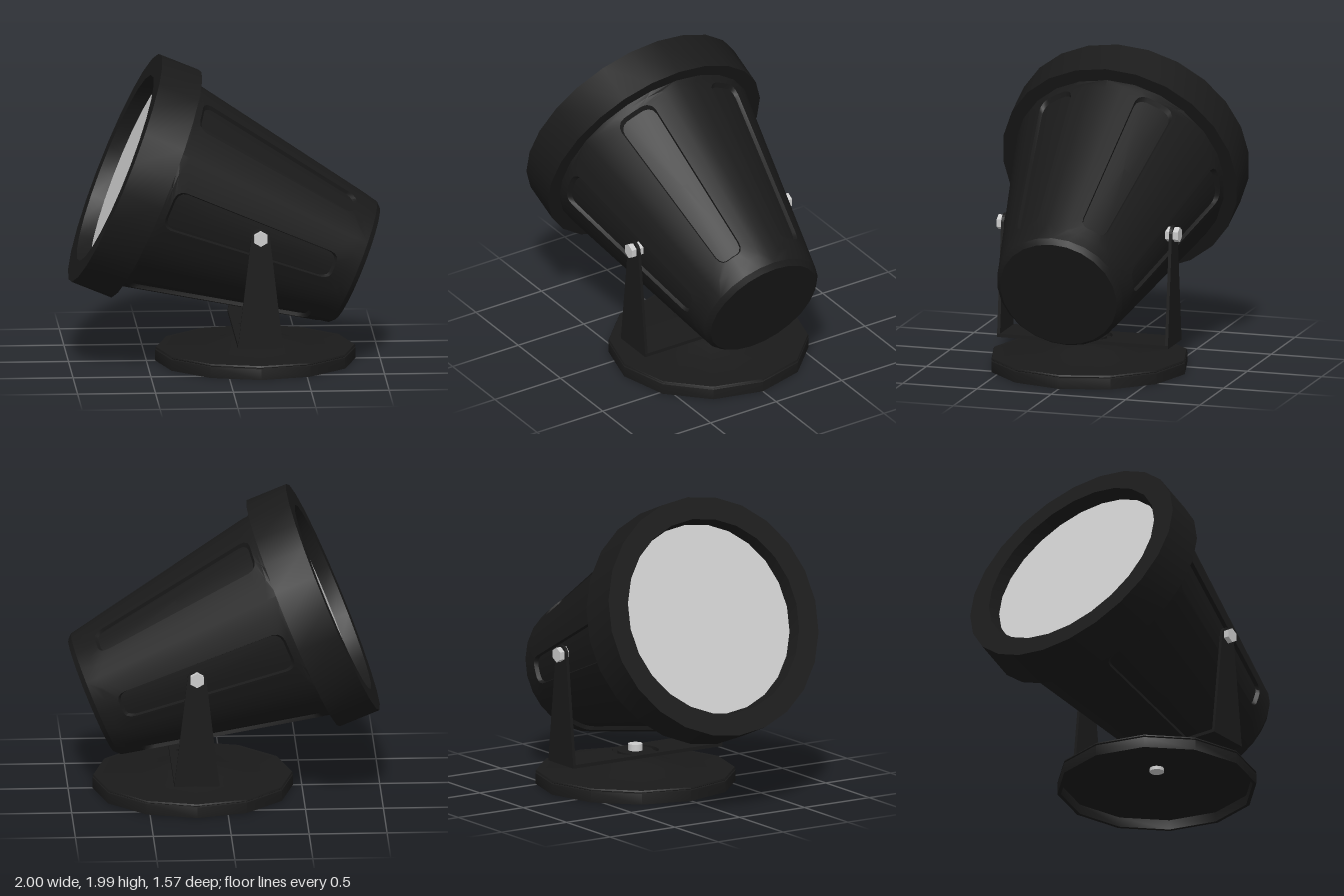
import * as THREE from 'three';
import { toCreasedNormals, mergeGeometries } from 'three/addons/utils/BufferGeometryUtils.js';

const black = new THREE.MeshStandardMaterial({ color: 0x1a1a1a, side: THREE.DoubleSide });
const grey = new THREE.MeshStandardMaterial({ color: 0xcccccc });

const CREASE = 0.55;
const PIVOT_X = 0.2, PIVOT_Y = 0.915;

function add(parent, name, geometry, material = black) {
  const mesh = new THREE.Mesh(geometry, material);
  mesh.name = name;
  parent.add(mesh);
  return mesh;
}

function lathe(points, sides, crease = CREASE) {
  const profile = points.map(([r, y]) => new THREE.Vector2(r, y));
  return toCreasedNormals(new THREE.LatheGeometry(profile, sides), crease);
}

// Tapered housing wall: six sectors, each with a sunken rounded panel
function housingGeometry() {
  const D0 = 0.27, D1 = 1.645, R0 = 0.70, R1 = 0.42;
  const panel = { mid: 0.915, half: 0.58, angle: 11.3 };
  const sector = { mid: (D0 + D1) / 2, half: (D1 - D0) / 2, angle: 30 };
  const depth = 0.025, ru = 0.5, rd = 0.11;

  // Matching unit outlines: rounded (panel) and square (sector), counter-clockwise
  const round = [], square = [];
  [[1, 1], [-1, 1], [-1, -1], [1, -1]].forEach(([sx, sy], k) => {
    let corner = [0, 30, 60, 90].map((deg) => {
      const t = THREE.MathUtils.degToRad(deg);
      return [sx * (1 - ru + ru * Math.cos(t)), sy * (1 - rd + rd * Math.sin(t))];
    });
    let outer = [[sx, sy * (1 - rd)], [sx, sy], [sx, sy], [sx * (1 - ru), sy]];
    if (k % 2) { corner.reverse(); outer.reverse(); }
    round.push(...corner);
    square.push(...outer);
    // Midpoint of the following edge
    const middle = [[0, 1], [-1, 0], [0, -1], [1, 0]][k];
    round.push(middle);
    square.push(middle);
  });

  const place = (outline, box, scale = 1) => outline.map(([u, v]) =>
    [u * box.angle * scale, box.mid + v * box.half * scale]);
  const edge = place(round, panel), border = place(square, sector);
  const between = edge.map((p, i) => [(p[0] + border[i][0]) / 2, (p[1] + border[i][1]) / 2]);
  const rings = [
    { pts: place(round, panel, 0.02), sink: depth },
    { pts: place(round, panel, 0.5), sink: depth },
    { pts: place(round, panel, 0.97), sink: depth },
    { pts: edge, sink: 0 },
    { pts: between, sink: 0 },
    { pts: border, sink: 0 },
  ];

  const pos = [];
  for (let s = 0; s < 6; s++) {
    const put = (ring, i) => {
      const [u, d] = ring.pts[i % ring.pts.length];
      const a = THREE.MathUtils.degToRad(90 + 60 * s + u);
      const r = R0 + (R1 - R0) * (d - D0) / (D1 - D0) - ring.sink;
      pos.push(r * Math.cos(a), d, r * Math.sin(a));
    };
    for (let k = 0; k < rings.length - 1; k++) {
      const a = rings[k], b = rings[k + 1];
      for (let i = 0; i < edge.length; i++) {
        put(a, i); put(b, i + 1); put(b, i);
        put(a, i); put(a, i + 1); put(b, i + 1);
      }
    }
    // Small patch closing the panel centre
    for (let i = 1; i < edge.length - 1; i++) {
      put(rings[0], 0); put(rings[0], i + 1); put(rings[0], i);
    }
  }
  const g = new THREE.BufferGeometry();
  g.setAttribute('position', new THREE.Float32BufferAttribute(pos, 3));
  return toCreasedNormals(g, CREASE);
}

// Lamp, built along +y from the front of the rim, then tilted
function createLamp() {
  const lamp = new THREE.Group();
  lamp.name = 'lamp';
  add(lamp, 'housing', housingGeometry());
  add(lamp, 'rim', lathe([[0.62, 0.1], [0.64, 0], [0.785, 0], [0.785, 0.276], [0.68, 0.276]], 24));
  add(lamp, 'rearCap', lathe([[0.42, 1.645], [0.39, 1.677], [0, 1.677]], 24));
  const lens = add(lamp, 'lens', new THREE.CircleGeometry(0.628, 24).rotateX(Math.PI / 2), grey);
  lens.position.y = 0.09;
  lamp.position.set(-0.7, 1.265, 0);
  lamp.rotation.z = -THREE.MathUtils.degToRad(112.5);
  return lamp;
}

// U-shaped bracket: slotted floor plate and two tapered arms
function createYoke() {
  const yoke = new THREE.Group();
  yoke.name = 'yoke';
  const plate = new THREE.Shape();
  plate.moveTo(-0.145, -0.575).lineTo(0.145, -0.575).lineTo(0.145, 0.575).lineTo(-0.145, 0.575);
  for (const mid of [Math.PI / 2, -Math.PI / 2]) {
    const slot = new THREE.Path();
    slot.absarc(0, 0, 0.15, mid - 0.8, mid + 0.8, false);
    slot.absarc(0, 0, 0.115, mid + 0.8, mid - 0.8, true);
    slot.closePath();
    plate.holes.push(slot);
  }
  const floor = new THREE.ExtrudeGeometry(plate, { depth: 0.022, bevelEnabled: false, curveSegments: 8 });
  floor.rotateX(-Math.PI / 2).translate(PIVOT_X, 0.19, 0);
  add(yoke, 'yokePlate', floor);

  const arm = new THREE.Shape();
  arm.moveTo(-0.145, 0.19).lineTo(0.145, 0.19).lineTo(0.06, PIVOT_Y);
  arm.absarc(0, PIVOT_Y, 0.06, 0, Math.PI, false);
  arm.closePath();
  for (const side of [1, -1]) {
    const g = new THREE.ExtrudeGeometry(arm, { depth: 0.02, bevelEnabled: false, curveSegments: 6 });
    g.translate(PIVOT_X, 0, side * 0.565 - 0.01);
    add(yoke, side > 0 ? 'frontArm' : 'rearArm', g);

    // Hex head outside the arm, nut inside
    const parts = [[0.592, 0.036], [0.538, 0.036]].map(([z, h]) =>
      new THREE.CylinderGeometry(0.049, 0.049, h, 6).rotateX(Math.PI / 2).translate(0, 0, side * z));
    const bolt = add(yoke, 'pivotBolt', toCreasedNormals(mergeGeometries(parts), 0.3), grey);
    bolt.position.set(PIVOT_X, PIVOT_Y, 0);
  }
  return yoke;
}

// Twelve-sided hollow foot with a low dome and a central bolt
function createBase() {
  const base = new THREE.Group();
  base.name = 'base';
  add(base, 'foot', lathe([
    [0, 0.145], [0.13, 0.14], [0.32, 0.075], [0.62, 0.065], [0.62, 0], [0.643, 0],
    [0.643, 0.07], [0.634, 0.075], [0.643, 0.08], [0.638, 0.09],
    [0.33, 0.095], [0.2, 0.145], [0.12, 0.165], [0, 0.17],
  ], 12));
  const bolt = add(base, 'swivelBolt',
    toCreasedNormals(new THREE.CylinderGeometry(0.047, 0.047, 0.135, 12), CREASE), grey);
  bolt.position.y = 0.1875;
  base.position.x = PIVOT_X;
  return base;
}

export function createModel() {
  const model = new THREE.Group();
  model.name = 'floodlight';
  model.add(createLamp(), createYoke(), createBase());
  return model;
}
